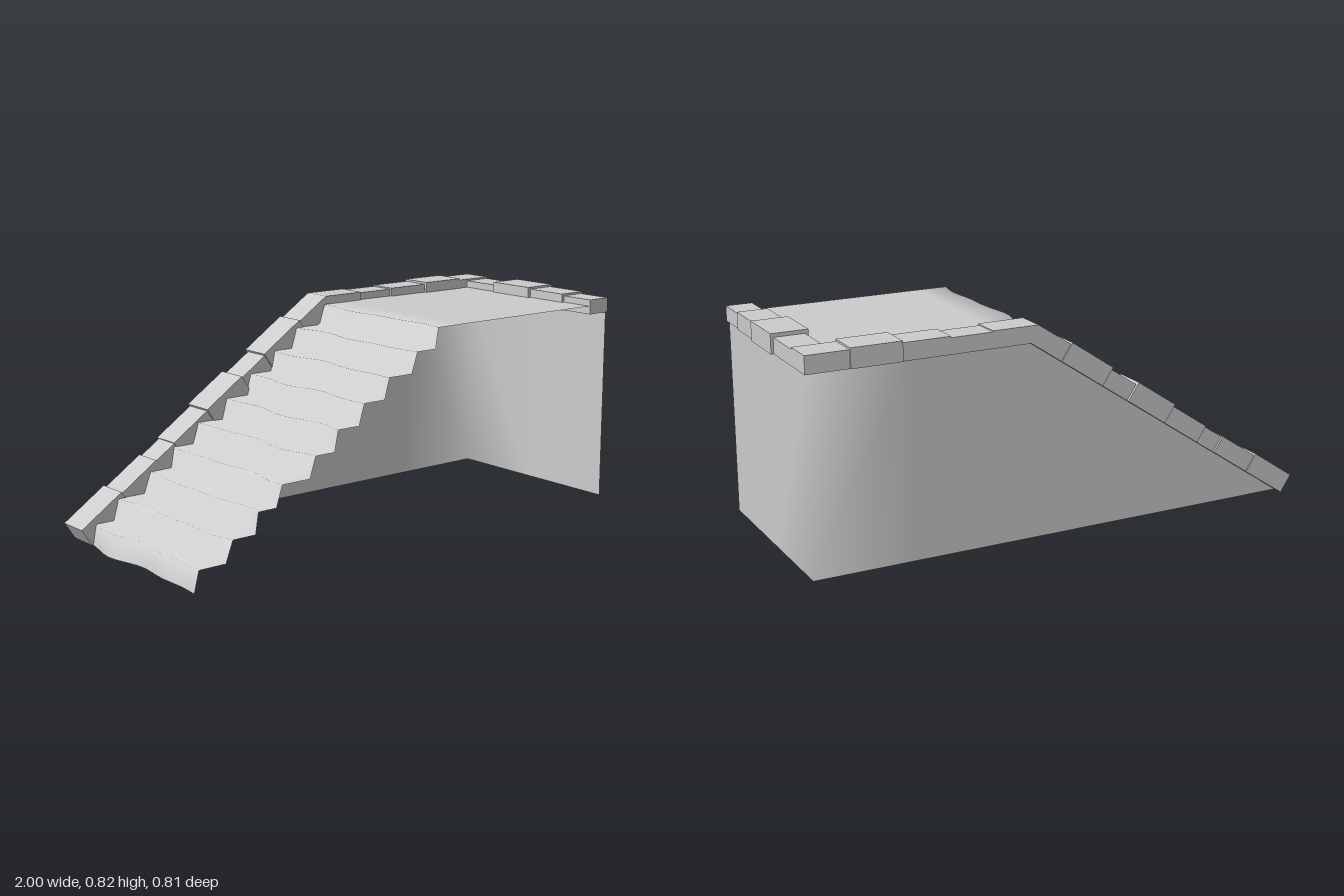
import * as THREE from 'three';

const material = new THREE.MeshStandardMaterial({ color: 0xcccccc, side: THREE.DoubleSide });

// Smooth sheet through a grid of points: rows[i][j] = [x, y, z]
function sheet(name, rows) {
  const n = rows[0].length, index = [];
  for (let i = 0; i < rows.length - 1; i++) {
    for (let j = 0; j < n - 1; j++) {
      const a = i * n + j, b = a + 1, c = a + n, d = c + 1;
      index.push(a, b, c, b, d, c);
    }
  }
  const geometry = new THREE.BufferGeometry();
  geometry.setAttribute('position', new THREE.Float32BufferAttribute(rows.flat(2), 3));
  geometry.setIndex(index);
  geometry.computeVertexNormals();
  const mesh = new THREE.Mesh(geometry, material);
  mesh.name = name;
  return mesh;
}

// Stone with a four-cornered side profile, running from z0 to z1
function stone(name, corners, z0, z1) {
  const shape = new THREE.Shape(corners.map(([x, y]) => new THREE.Vector2(x, y)));
  const geometry = new THREE.ExtrudeGeometry(shape, { depth: z1 - z0, bevelEnabled: false });
  const mesh = new THREE.Mesh(geometry, material);
  mesh.position.z = z0;
  mesh.name = name;
  return mesh;
}

const STEPS = 10, DECK = 0.775, RISE = DECK / STEPS, RUN = 0.1165;
const FOOT = -0.96, BEND = 0.15, WALL_TOP = 0.743;
const BACK = -0.365, FRONT = 0.4, END = 0.975;

// Worn, wavy front of each step
const wave = (i, z) =>
  0.010 * Math.sin(13 * z + 1.9 * i) + 0.008 * Math.sin(21 * z + 2.7 * i + 1);

function createStairs() {
  const zs = Array.from({ length: 17 }, (_, j) => BACK + (FRONT - BACK) * j / 16);
  const rows = [];
  for (let i = 0; i < STEPS; i++) {
    const x = FOOT + i * RUN;
    rows.push(zs.map(z => [x - 0.01 + wave(i, z), i * RISE, z]));
    rows.push(zs.map(z => [x + 0.012 + wave(i + 0.25, z), (i + 1) * RISE, z]));
  }
  // Flat landing behind the top step
  for (const x of [0.22, END]) rows.push(zs.map(z => [x, DECK, z]));
  return sheet('stairsAndLanding', rows.map(row => row.reverse()));
}

function createWall() {
  // Back wall follows the slope, then turns the corner to the end wall
  const plan = [[FOOT, BACK, 0], [BEND, BACK, WALL_TOP], [0.6, BACK, WALL_TOP],
    [END, BACK, WALL_TOP], [END, 0, WALL_TOP], [END, 0.405, WALL_TOP]];
  return sheet('wall', [
    plan.map(([x, z]) => [x, 0, z]),
    plan.map(([x, z, top]) => [x, top, z]),
  ]);
}

function createCoping() {
  const group = new THREE.Group();
  group.name = 'coping';
  const slope = Math.atan2(WALL_TOP, BEND - FOOT);
  const lineY = x => (x - FOOT) * Math.tan(slope);

  // Sloping stones: base x start, base x end, thickness, z range
  const sloping = [
    [-0.96, -0.79, 0.078, -0.405, -0.28],
    [-0.79, -0.64, 0.07, -0.40, -0.285],
    [-0.64, -0.56, 0.066, -0.392, -0.288],
    [-0.56, -0.41, 0.07, -0.40, -0.285],
    [-0.41, -0.25, 0.079, -0.405, -0.275],
    [-0.25, -0.14, 0.068, -0.395, -0.285],
    [-0.14, 0.03, 0.077, -0.405, -0.28],
    [0.03, BEND, 0.07, -0.40, -0.285],
  ];
  sloping.forEach(([x0, x1, t, z0, z1], i) => {
    const nx = -t * Math.sin(slope), ny = t * Math.cos(slope);
    // The top stone is mitred where the coping turns level
    const last = i === sloping.length - 1;
    const tip = last ? [0.122, 0.807] : [x1 + nx, lineY(x1) + ny];
    group.add(stone('slopingCopingStone',
      [[x0, lineY(x0)], [x1, lineY(x1)], tip, [x0 + nx, lineY(x0) + ny]], z0, z1));
  });

  // Level stones: x range, top height, z range
  const level = [
    [BEND, 0.30, 0.807, -0.40, -0.285],
    [0.30, 0.46, 0.803, -0.40, -0.295],
    [0.46, 0.64, 0.808, -0.40, -0.285],
    [0.64, 0.83, 0.816, -0.405, -0.275],
    [0.83, 0.99, 0.809, -0.40, -0.28],
    // Row along the end wall
    [0.875, 0.99, 0.802, -0.28, -0.11],
    [0.862, 1.0, 0.816, -0.11, 0.09],
    [0.875, 0.99, 0.808, 0.09, 0.265],
    [0.885, 0.985, 0.80, 0.265, 0.405],
  ];
  level.forEach(([x0, x1, top, z0, z1], i) => {
    group.add(stone('levelCopingStone',
      [[x0, WALL_TOP], [x1, WALL_TOP], [x1, top], [i === 0 ? 0.122 : x0, top]], z0, z1));
  });
  return group;
}

export function createModel() {
  const model = new THREE.Group();
  model.name = 'stoneStaircase';
  model.add(createStairs(), createWall(), createCoping());
  return model;
}
